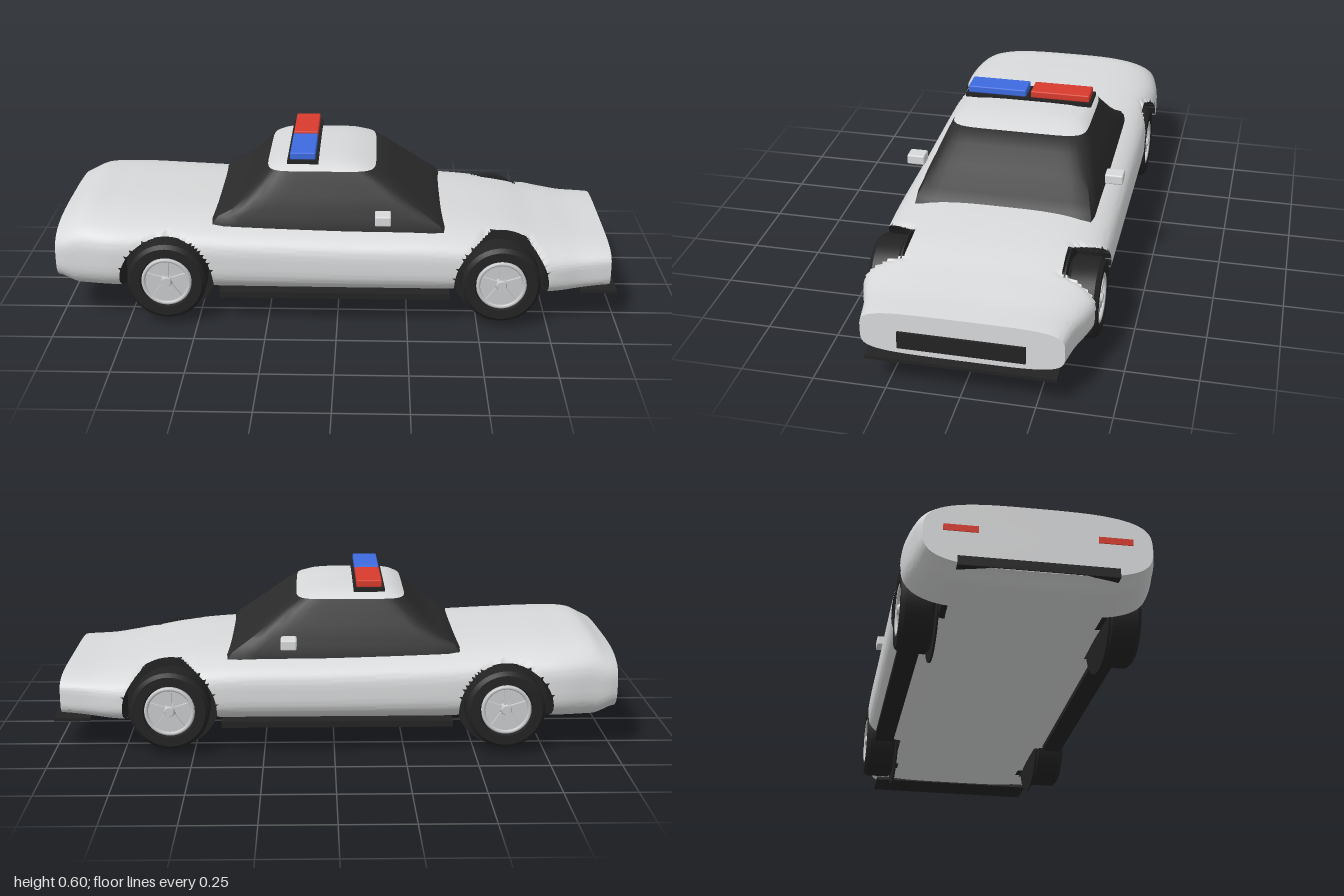
import * as THREE from 'three';
import { toCreasedNormals } from 'three/addons/utils/BufferGeometryUtils.js';
import { RoundedBoxGeometry } from 'three/addons/geometries/RoundedBoxGeometry.js';

const mat = (name, color) => {
  const m = new THREE.MeshStandardMaterial({ color });
  m.name = name;
  return m;
};

// Point on a unit superellipse, evenly spread by angle
function superPoint(t, n) {
  const c = Math.cos(t), s = Math.sin(t);
  const r = Math.pow(Math.abs(c) ** n + Math.abs(s) ** n, -1 / n);
  return [r * c, r * s];
}

// Skin over equal-length rings with closed ends; isDark picks faces for the second material
function loft(rings, isDark = () => false) {
  const count = rings[0].length, pos = [], light = [], dark = [];
  rings.forEach(r => r.forEach(p => pos.push(p.x, p.y, p.z)));
  const last = rings.length - 1;
  for (let i = 0; i < last; i++) {
    for (let j = 0; j < count; j++) {
      const k = (j + 1) % count;
      const a = i * count + j, b = a + count, c = (i + 1) * count + k, d = i * count + k;
      const quad = [rings[i][j], rings[i + 1][j], rings[i + 1][k], rings[i][k]];
      (isDark(quad) ? dark : light).push(a, b, c, a, c, d);
    }
  }
  for (const i of [0, last]) {
    const mid = new THREE.Vector3();
    rings[i].forEach(p => mid.addScaledVector(p, 1 / count));
    const m = pos.length / 3;
    pos.push(mid.x, mid.y, mid.z);
    for (let j = 0; j < count; j++) {
      const a = i * count + j, b = i * count + (j + 1) % count;
      light.push(m, ...(i === 0 ? [a, b] : [b, a]));
    }
  }
  const g = new THREE.BufferGeometry();
  g.setAttribute('position', new THREE.Float32BufferAttribute(pos, 3));
  g.setIndex([...light, ...dark]);
  g.addGroup(0, light.length, 0);
  g.addGroup(light.length, dark.length, 1);
  return toCreasedNormals(g, 0.6);
}

const WHEEL_X = [-0.605, 0.58], WHEEL_Y = 0.167, ARCH = 0.166, WELL_Z = 0.27;

// Body stations: x, top height, half width
function bodyGeometry() {
  const keys = [
    [-1, 0.355, 0.362], [-0.97, 0.37, 0.373], [-0.92, 0.394, 0.383], [-0.8, 0.396, 0.403],
    [-0.6, 0.39, 0.397], [-0.4, 0.379, 0.4], [0, 0.366, 0.4], [0.35, 0.36, 0.4],
    [0.58, 0.338, 0.397], [0.72, 0.308, 0.4], [0.78, 0.298, 0.385], [0.86, 0.285, 0.358], [0.97, 0.278, 0.337],
  ];
  const curve = new THREE.CatmullRomCurve3(keys.map(k => new THREE.Vector3(...k)));
  curve.arcLengthDivisions = 1000;
  const { smoothstep } = THREE.MathUtils;
  const rings = curve.getSpacedPoints(190).map(({ x, y: top, z: half }) => {
    const low = 0.1 + 0.03 * smoothstep(-x, 0.92, 1) + 0.024 * smoothstep(x, 0.75, 0.97);
    const n = 3.3 + 1.2 * smoothstep(x, 0.75, 0.97);
    const ring = [];
    for (let j = 0; j < 128; j++) {
      const [c, s] = superPoint(j / 128 * Math.PI * 2, n);
      const p = new THREE.Vector3(x, (top + low) / 2 + s * (top - low) / 2, c * half);
      // Cut the wheel arches: snap the rim to a circle, push the inside back
      for (const wx of WHEEL_X) {
        const dx = p.x - wx, dy = p.y - WHEEL_Y, d = Math.hypot(dx, dy);
        if (Math.abs(p.z) <= WELL_Z) continue;
        if (d < ARCH) {
          p.z = Math.sign(p.z) * WELL_Z;
          p.well = true;
        } else if (d < ARCH + 0.01) {
          p.x = wx + dx * ARCH / d;
          p.y = WHEEL_Y + dy * ARCH / d;
        }
      }
      ring.push(p);
    }
    return ring;
  });
  return loft(rings, quad => quad.some(p => p.well));
}

// Cabin level: height, rear x, front x, half width, corner sharpness
function cabinGeometry(levels) {
  return loft(levels.map(([y, x0, x1, half, n]) => Array.from({ length: 96 }, (_, j) => {
    const [c, s] = superPoint(j / 96 * Math.PI * 2, n);
    return new THREE.Vector3((x0 + x1) / 2 + c * (x1 - x0) / 2, y, s * half);
  })));
}

export function createModel() {
  const car = new THREE.Group();
  car.name = 'patrolCar';
  const paint = mat('silver paint', 0xd8d9da);
  const alloy = mat('wheel alloy', 0xc9cacc);
  const glass = mat('dark glass', 0x2b2b2b);
  const trim = mat('black trim', 0x232323);
  const blue = mat('blue lamp', 0x3c6ae0);
  const red = mat('red lamp', 0xd83a2c);

  const add = (parent, name, geometry, material, x = 0, y = 0, z = 0) => {
    const m = new THREE.Mesh(geometry, material);
    m.name = name;
    m.position.set(x, y, z);
    parent.add(m);
    return m;
  };
  // Box given by its extents on each axis
  const box = (name, material, [x0, x1], [y0, y1], [z0, z1], radius = 0) => {
    const size = [x1 - x0, y1 - y0, z1 - z0];
    const g = radius ? new RoundedBoxGeometry(...size, 3, radius) : new THREE.BoxGeometry(...size);
    return add(car, name, g, material, (x0 + x1) / 2, (y0 + y1) / 2, (z0 + z1) / 2);
  };

  add(car, 'body', bodyGeometry(), [paint, trim]);

  // Cabin: wraparound glass below, painted roof above
  const seam = [0.537, -0.255, 0.135, 0.249, 7];
  add(car, 'windows', cabinGeometry([
    [0.33, -0.455, 0.39, 0.325, 30], [0.36, -0.452, 0.37, 0.32, 30], [0.385, -0.435, 0.335, 0.31, 24],
    [0.41, -0.385, 0.302, 0.303, 18], [0.45, -0.335, 0.25, 0.286, 13], [0.5, -0.288, 0.19, 0.266, 9], seam,
  ]), glass);
  add(car, 'roof', cabinGeometry([
    seam, [0.549, -0.235, 0.1, 0.235, 6], [0.558, -0.21, 0.06, 0.205, 5], [0.563, -0.18, 0.03, 0.16, 4],
    [0.565, -0.13, -0.02, 0.08, 4],
  ]), paint);

  // Light bar
  box('lightBarBase', trim, [-0.18, -0.07], [0.56, 0.574], [-0.237, 0.237]);
  box('blueLight', blue, [-0.17, -0.08], [0.573, 0.6], [0.01, 0.23], 0.005);
  box('redLight', red, [-0.17, -0.08], [0.573, 0.6], [-0.228, -0.008], 0.005);

  // Nose and tail trim
  box('grille', trim, [0.96, 0.98], [0.15, 0.21], [-0.212, 0.212]);
  box('frontSplitter', trim, [0.87, 1], [0.109, 0.121], [-0.318, 0.318]);
  box('rearBumper', trim, [-1.004, -0.97], [0.132, 0.164], [-0.255, 0.255]);

  // Paired side parts
  for (const side of [1, -1]) {
    const span = (a, b) => side > 0 ? [a, b] : [-b, -a];
    box('sideSkirt', trim, [-0.42, 0.4], [0.1, 0.122], span(0.3, 0.372));
    box('mirror', paint, [0.132, 0.188], [0.389, 0.426], span(0.333, 0.398), 0.006);
    box('tailLight', red, [-1.003, -0.995], [0.25, 0.272], span(0.19, 0.3));
  }

  // Wheels, built facing +z
  const tyreProfile = [
    [0, 0.285], [0.128, 0.285], [0.14, 0.297], [0.14, 0.382], [0.127, 0.396], [0.094, 0.396], [0.086, 0.37],
  ].map(p => new THREE.Vector2(...p));
  const tyre = toCreasedNormals(new THREE.LatheGeometry(tyreProfile, 40), 0.5).rotateX(Math.PI / 2);
  const well = new THREE.CylinderGeometry(0.167, 0.167, 0.006, 48).rotateX(Math.PI / 2);
  const dish = new THREE.CylinderGeometry(0.088, 0.088, 0.02, 32).rotateX(Math.PI / 2);
  const lip = new THREE.TorusGeometry(0.082, 0.007, 8, 40);
  const hub = new THREE.CylinderGeometry(0.016, 0.024, 0.022, 16).rotateX(Math.PI / 2);
  const spoke = new THREE.BoxGeometry(0.018, 0.07, 0.012).translate(0, 0.045, 0);
  for (const x of WHEEL_X) {
    for (const side of [1, -1]) {
      const wheel = new THREE.Group();
      wheel.name = (x > 0 ? 'front' : 'rear') + 'Wheel';
      wheel.position.set(x, WHEEL_Y, 0);
      wheel.rotation.y = side > 0 ? 0 : Math.PI;
      add(wheel, 'wheelWell', well, trim, 0, 0, 0.28);
      add(wheel, 'tyre', tyre, trim);
      add(wheel, 'rimDish', dish, alloy, 0, 0, 0.366);
      add(wheel, 'rimLip', lip, alloy, 0, 0, 0.388);
      add(wheel, 'hub', hub, alloy, 0, 0, 0.386);
      for (let i = 0; i < 5; i++) {
        add(wheel, 'spoke', spoke, alloy, 0, 0, 0.381).rotation.z = i * Math.PI * 2 / 5;
      }
      car.add(wheel);
    }
  }
  return car;
}
